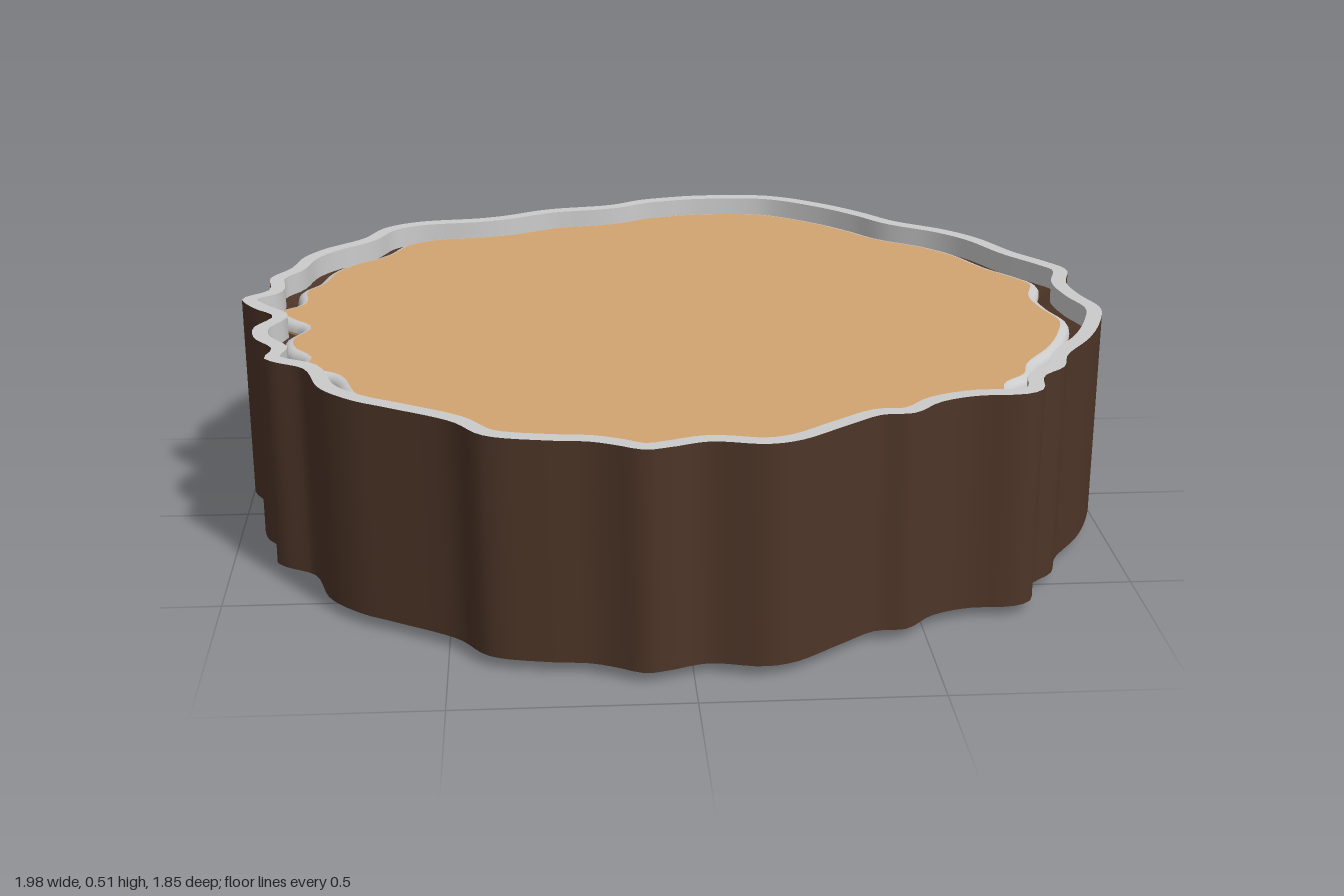
import * as THREE from 'three';

// Outline of the slice seen from above: x, z pairs, going back, right, front, left
const OUTLINE = [
  .14, -.93, .33, -.915, .47, -.825, .565, -.73, .63, -.65, .75, -.56, .82, -.48, .885, -.355,
  .95, -.265, .985, -.2, .96, -.09, .97, 0, .995, .1, .97, .2, .92, .31, .845, .42,
  .82, .495, .765, .55, .745, .63, .705, .655, .6, .66, .52, .69, .455, .75, .39, .755,
  .31, .81, .205, .885, .14, .9, .03, .88, -.05, .905, -.1, .915, -.16, .885, -.21, .865,
  -.29, .855, -.415, .82, -.48, .74, -.61, .655, -.69, .605, -.76, .53, -.805, .405, -.865, .365,
  -.895, .335, -.885, .27, -.93, .2, -.94, .125, -.905, .045, -.955, -.015, -.99, -.09, -.935, -.15,
  -.94, -.25, -.9, -.32, -.875, -.415, -.83, -.485, -.74, -.57, -.69, -.665, -.61, -.715, -.45, -.74,
  -.385, -.76, -.27, -.815, -.1, -.85, -.02, -.895, .03, -.91,
];
const SAMPLES = 260;

function outlineRing() {
  const pts = [];
  for (let i = 0; i < OUTLINE.length; i += 2) pts.push(new THREE.Vector3(OUTLINE[i], 0, OUTLINE[i + 1]));
  const curve = new THREE.CatmullRomCurve3(pts, true, 'centripetal');
  return curve.getSpacedPoints(SAMPLES).slice(0, SAMPLES).map(p => new THREE.Vector2(p.x, p.z));
}

// Move a ring inwards along its smoothed normals
function inset(ring, d) {
  const n = ring.length;
  return ring.map((p, i) => {
    const t = ring[(i + 3) % n].clone().sub(ring[(i + n - 3) % n]).normalize();
    return new THREE.Vector2(p.x - t.y * d, p.y + t.x * d);
  });
}

// Closed band through a list of [ring, height]
function band(levels) {
  const pos = [], index = [], n = SAMPLES;
  levels.forEach(([ring, y]) => ring.forEach(p => pos.push(p.x, y, p.y)));
  for (let l = 0; l < levels.length - 1; l++) {
    for (let i = 0; i < n; i++) {
      const j = (i + 1) % n, a = l * n, b = a + n;
      index.push(a + i, b + i, b + j, a + i, b + j, a + j);
    }
  }
  const g = new THREE.BufferGeometry();
  g.setAttribute('position', new THREE.Float32BufferAttribute(pos, 3));
  g.setIndex(index);
  g.computeVertexNormals();
  return g;
}

// Flat face filling a ring, looking up or down
function cap(ring, y, up) {
  const s = up ? -1 : 1;
  const shape = new THREE.Shape(ring.map(p => new THREE.Vector2(p.x, s * p.y)));
  return new THREE.ShapeGeometry(shape).rotateX(s * Math.PI / 2).translate(0, y, 0);
}

// Quarter-round edge: bottom edge climbs outwards, top edge climbs inwards
function roundedEdge(ring, r, y, top) {
  const levels = [];
  for (let k = 0; k <= 4; k++) {
    const a = k / 4 * Math.PI / 2;
    levels.push(top
      ? [inset(ring, r * (1 - Math.cos(a))), y - r + r * Math.sin(a)]
      : [inset(ring, r * (1 - Math.sin(a))), y + r - r * Math.cos(a)]);
  }
  return band(levels);
}

export function createModel() {
  const group = new THREE.Group();
  const grey = new THREE.MeshStandardMaterial({ color: 0xcccccc, side: THREE.DoubleSide });
  const bark = new THREE.MeshStandardMaterial({ color: 0x4d3527, side: THREE.DoubleSide });
  const wood = new THREE.MeshStandardMaterial({ color: 0xd2a472 });
  const add = (name, geometry, material) => {
    const mesh = new THREE.Mesh(geometry, material);
    mesh.name = name;
    group.add(mesh);
  };

  const outer = outlineRing();
  const inner = inset(outer, .035);
  const core = outer.map(p => new THREE.Vector2(p.x * .93, p.y * .935 - .005));
  const low = .025, high = .51, coreTop = .478, r = .022;

  // Bark shell: brown outside, pale cut rims and inner face
  add('barkWall', band([[outer, low], [outer, high]]), bark);
  add('barkTopRim', band([[outer, high], [inner, high]]), grey);
  add('barkInnerWall', band([[inner, high], [inner, low]]), grey);
  add('barkBottomRim', band([[inner, low], [outer, low]]), grey);

  // Dark layer between bark and core
  add('innerBark', band([[inner, coreTop - .018], [core, coreTop - .028]]), bark);

  // Wooden core, slightly lower than the bark, with rounded edges
  add('coreBottomEdge', roundedEdge(core, r, 0, false), grey);
  add('coreWall', band([[core, r], [core, coreTop - r]]), wood);
  add('coreTopEdge', roundedEdge(core, r, coreTop, true), grey);
  add('coreTop', cap(inset(core, r), coreTop, true), wood);
  add('coreBottom', cap(inset(core, r), 0, false), wood);

  return group;
}
